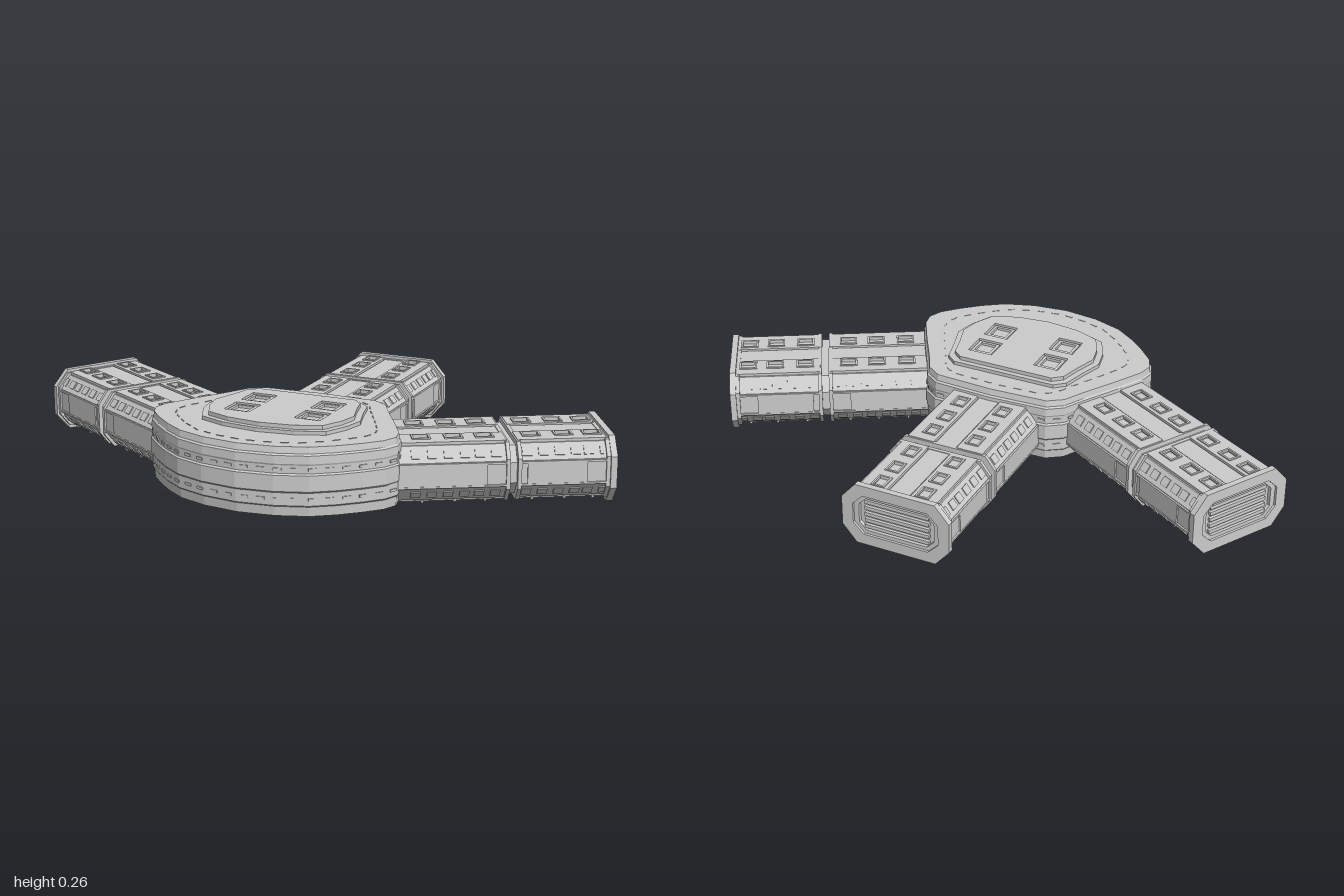
import * as THREE from 'three';

const mat = new THREE.MeshStandardMaterial({ color: 0xcccccc, flatShading: true });
const V = (a) => a.map(([x, y]) => new THREE.Vector2(x, y));
const mirror = (half) => [...half, ...half.filter(([x]) => x > 0).reverse().map(([x, z]) => [-x, z])];

function add(parent, name, geo, x = 0, y = 0, z = 0) {
  const m = new THREE.Mesh(geo, mat);
  m.name = name;
  m.position.set(x, y, z);
  parent.add(m);
  return m;
}
const box = (p, name, w, h, d, x, y, z) => add(p, name, new THREE.BoxGeometry(w, h, d), x, y, z);

function extrude(points, depth, holes = []) {
  const s = new THREE.Shape(V(points));
  holes.forEach((h) => s.holes.push(new THREE.Path(V(h))));
  return new THREE.ExtrudeGeometry(s, { depth, bevelEnabled: false });
}
// Flat slab from an (x, z) plan, reaching down from its top
const slab = (p, name, plan, top, depth, holes) =>
  add(p, name, extrude(plan, depth, holes).rotateX(Math.PI / 2), 0, top, 0);

const rect = (x, y, w, h) => [[x - w / 2, y - h / 2], [x + w / 2, y - h / 2], [x + w / 2, y + h / 2], [x - w / 2, y + h / 2]];
const octagon = (w, y0, y1, cx, cy) => [
  [w - cx, y0], [w, y0 + cy], [w, y1 - cy], [w - cx, y1],
  [-w + cx, y1], [-w, y1 - cy], [-w, y0 + cy], [-w + cx, y0]];

// Hub plan, from the back centre round the left side to the front
const HUB = mirror([[0, 0], [0.2, 0.01], [0.25, 0.045], [0.29, 0.12], [0.355, 0.23], [0.41, 0.33], [0.42, 0.38],
  [0.4, 0.43], [0.35, 0.485], [0.29, 0.54], [0.22, 0.59], [0.12, 0.625], [0, 0.64]]);
const MID = 0.32;
const scalePlan = (plan, sx, sz) => plan.map(([x, z]) => [x * sx, MID + (z - MID) * sz]);

// Stacked outlines joined into a closed, stepped wall
function hubGeometry(levels) {
  const pos = [], idx = [], n = HUB.length;
  levels.forEach(([y, s]) => scalePlan(HUB, (1 + s) / 2, s).forEach(([x, z]) => pos.push(x, y, z)));
  const bottom = pos.length / 3, top = bottom + 1, last = (levels.length - 1) * n;
  pos.push(0, levels[0][0], MID, 0, levels.at(-1)[0], MID);
  for (let i = 0; i < n; i++) {
    const j = (i + 1) % n;
    for (let k = 0; k < last; k += n) idx.push(k + i, k + n + i, k + j, k + j, k + n + i, k + n + j);
    idx.push(bottom, i, j, top, last + j, last + i);
  }
  const g = new THREE.BufferGeometry();
  g.setAttribute('position', new THREE.Float32BufferAttribute(pos, 3));
  g.setIndex(idx);
  g.computeVertexNormals();
  return g;
}

// Small blocks spaced along a closed plan
function dashes(parent, name, plan, count, y, h, d) {
  const path = new THREE.Path(V([...plan, plan[0]]));
  for (let i = 0; i < count; i++) {
    const u = (i + 0.5) / count, p = path.getPointAt(u), t = path.getTangentAt(u);
    box(parent, name, 0.025, h, d, p.x, y, p.y).rotation.y = -Math.atan2(t.y, t.x);
  }
}

function buildHub() {
  const hub = new THREE.Group();
  hub.name = 'hub';
  add(hub, 'hubBody', hubGeometry([[0.02, 0.955], [0.05, 0.965], [0.055, 0.985], [0.095, 0.985], [0.1, 1],
    [0.15, 1], [0.155, 0.982], [0.18, 0.982], [0.185, 0.99], [0.21, 0.985], [0.215, 0.965], [0.235, 0.95]]));
  dashes(hub, 'wallSlot', scalePlan(HUB, 0.993, 0.985), 44, 0.075, 0.008, 0.006);
  dashes(hub, 'wallSlot', scalePlan(HUB, 0.992, 0.982), 44, 0.168, 0.008, 0.006);
  dashes(hub, 'deckSlot', scalePlan(HUB, 0.8, 0.84), 36, 0.235, 0.003, 0.004);

  // Roof plate with four recessed hatches
  const plate = mirror([[0, 0.11], [0.18, 0.11], [0.215, 0.14], [0.235, 0.22], [0.26, 0.3], [0.245, 0.37],
    [0.21, 0.445], [0.12, 0.48], [0, 0.495]]);
  const hatches = [];
  for (const x of [-0.12, 0.12]) for (const z of [0.225, 0.345]) hatches.push([x, z]);
  slab(hub, 'roofPlate', plate, 0.247, 0.014);
  slab(hub, 'roofTop', plate.map(([x, z]) => [x * 0.92, 0.305 + (z - 0.305) * 0.91]), 0.26, 0.014,
    hatches.map(([x, z]) => rect(x, z, 0.086, 0.086)));
  hatches.forEach(([x, z]) =>
    slab(hub, 'hatchFrame', rect(x, z, 0.074, 0.074), 0.256, 0.01, [rect(x, z, 0.054, 0.054)]));

  // Stepped oval base
  [['baseRing', 0.22, 0.18, 0.012], ['baseDisc', 0.16, 0.13, 0.004]].forEach(([name, rx, rz, y]) =>
    add(hub, name, new THREE.CylinderGeometry(1, 0.96, 0.025 - y, 40).scale(rx, 1, rz), 0, (0.025 + y) / 2, 0.33));
  return hub;
}

// One module of an arm between two distances from the arm's origin
function armSegment(arm, t0, t1, windows) {
  const len = t1 - t0, mid = -(t0 + t1) / 2;
  add(arm, 'segmentBody', extrude(octagon(0.17, 0.022, 0.193, 0.035, 0.045), len), 0, 0, -t1);
  for (const t of [t0 + 0.012, t1])
    add(arm, 'segmentRim', extrude(octagon(0.176, 0.014, 0.2, 0.035, 0.045), 0.012), 0, 0, -t);
  box(arm, 'spine', 0.07, 0.008, len - 0.01, 0, 0.194, mid);
  box(arm, 'keel', 0.07, 0.008, len - 0.01, 0, 0.021, mid);
  for (const s of [-1, 1]) {
    // Roof strips with windows
    slab(arm, 'roofStrip', rect(s * 0.085, mid, 0.09, len - 0.01), 0.202, 0.012,
      windows.map((t) => rect(s * 0.075, -t, 0.04, 0.052)));
    windows.forEach((t) => {
      slab(arm, 'windowFrame', rect(s * 0.075, -t, 0.046, 0.058), 0.206, 0.008, [rect(s * 0.075, -t, 0.034, 0.046)]);
      // Slots on the sloping edges, above and below
      for (const [y, k] of [[0.171, -1], [0.044, 1]])
        for (const dz of [-0.025, 0.025])
          box(arm, 'edgeSlot', 0.028, 0.005, 0.03, s * 0.1535, y, -t + dz).rotation.z = s * k * 0.91;
      box(arm, 'floorRib', 0.09, 0.008, 0.008, s * 0.085, 0.014, -t);
    });
    box(arm, 'floorStrip', 0.085, 0.01, len - 0.01, s * 0.085, 0.02, mid);
    // Side walls
    box(arm, 'sidePanel', 0.01, 0.075, len - 0.1, s * 0.17, 0.107, mid + 0.02);
    for (const y of [0.072, 0.143]) box(arm, 'sideRail', 0.012, 0.006, len - 0.02, s * 0.17, y, mid);
  }
}

function buildArm() {
  const arm = new THREE.Group();
  arm.name = 'arm';
  armSegment(arm, 0.25, 0.722, [0.46, 0.56, 0.655]);
  armSegment(arm, 0.745, 1.03, [0.8, 0.9, 0.99]);
  add(arm, 'joint', extrude(octagon(0.16, 0.03, 0.184, 0.035, 0.045), 0.04), 0, 0, -0.755);
  // End frame round a slatted door
  add(arm, 'endFrame', extrude(octagon(0.183, 0, 0.21, 0.048, 0.055), 0.02, [octagon(0.145, 0.036, 0.174, 0.035, 0.035)]), 0, 0, -1.05);
  add(arm, 'doorFrame', extrude(octagon(0.147, 0.034, 0.176, 0.035, 0.035), 0.014, [octagon(0.128, 0.048, 0.162, 0.025, 0.025)]), 0, 0, -1.042);
  for (let i = 0; i < 5; i++) box(arm, 'doorSlat', 0.22, 0.012, 0.012, 0, 0.061 + i * 0.022, -1.034);
  return arm;
}

export function createModel() {
  const model = new THREE.Group();
  model.name = 'stationModule';
  model.add(buildHub());
  // Three equal arms fan out from one point
  [['leftArm', -1], ['backArm', 0], ['rightArm', 1]].forEach(([name, k]) => {
    const arm = buildArm();
    arm.name = name;
    arm.position.z = 0.41;
    arm.rotation.y = k * Math.PI / 3;
    model.add(arm);
  });
  return model;
}
